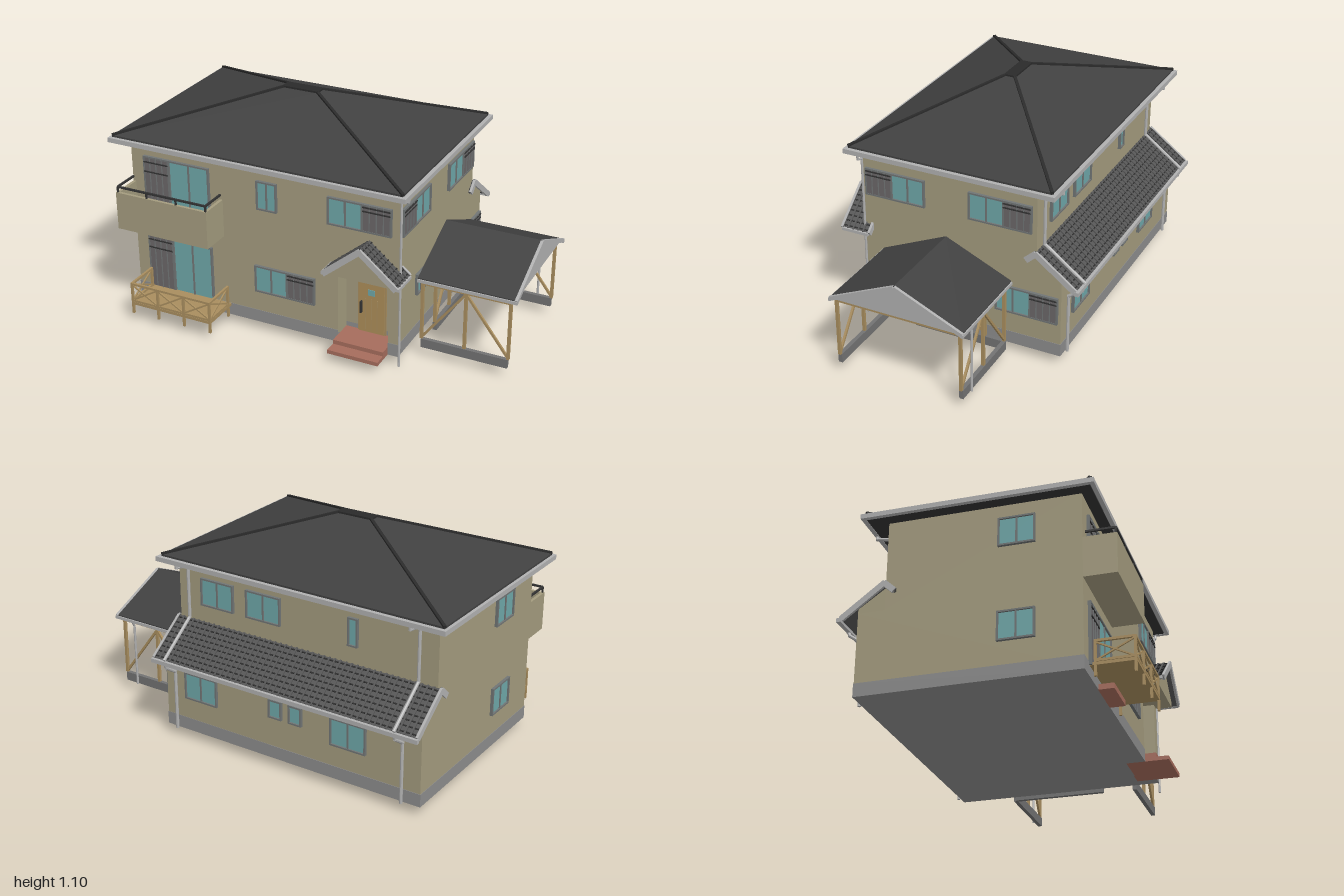
import * as THREE from 'three';
import { ConvexGeometry } from 'three/addons/geometries/ConvexGeometry.js';

const V = (x, y, z) => new THREE.Vector3(x, y, z);
const mat = (color) => new THREE.MeshStandardMaterial({ color, flatShading: true });
const M = {
  wall: mat(0xa39b7e), base: mat(0x8c8c8c), roof: mat(0x404040), cap: mat(0x2a2a2a), tile: mat(0x565656),
  trim: mat(0xb0b0b0), frame: mat(0x707474), glass: mat(0x6ea6a8), shutter: mat(0x6a6668),
  wood: mat(0xa88d5e), door: mat(0xab8c58), step: mat(0xa56c5c), dark: mat(0x333333), slab: mat(0x727272),
};

export function createModel() {
  const root = new THREE.Group();
  root.name = 'house';

  const add = (name, geo, m, parent = root) => {
    const mesh = new THREE.Mesh(geo, m);
    mesh.name = name;
    parent.add(mesh);
    return mesh;
  };
  const group = (name, parent = root) => {
    const g = new THREE.Group();
    g.name = name;
    parent.add(g);
    return g;
  };
  // box given by its extents
  const box = (name, x0, x1, y0, y1, z0, z1, m, parent) => {
    const b = add(name, new THREE.BoxGeometry(x1 - x0, y1 - y0, z1 - z0), m, parent);
    b.position.set((x0 + x1) / 2, (y0 + y1) / 2, (z0 + z1) / 2);
    return b;
  };
  // square bar between two points
  const bar = (name, a, b, w, m, parent, h = w) => {
    const mesh = add(name, new THREE.BoxGeometry(w, h, a.distanceTo(b)), m, parent);
    mesh.position.copy(a).add(b).multiplyScalar(0.5);
    mesh.lookAt(b);
    return mesh;
  };
  const pipe = (name, pts, r = 0.008) => {
    const path = new THREE.CurvePath();
    for (let i = 1; i < pts.length; i++) path.add(new THREE.LineCurve3(pts[i - 1], pts[i]));
    for (const c of path.curves) {
      const mesh = add(name, new THREE.CylinderGeometry(r, r, c.getLength() + r, 8), M.trim);
      mesh.position.copy(c.getPoint(0.5));
      mesh.quaternion.setFromUnitVectors(V(0, 1, 0), c.getTangent(0));
    }
  };
  const shapeOf = (pts) => new THREE.Shape(pts.map(([x, y]) => new THREE.Vector2(x, y)));
  const extrude = (pts, depth) => new THREE.ExtrudeGeometry(shapeOf(pts), { depth, bevelEnabled: false });
  // plan outline of (x, z) raised from y0 to y1
  const plan = (name, pts, y0, y1, m) =>
    add(name, extrude(pts.map(([x, z]) => [x, -z]), y1 - y0).rotateX(-Math.PI / 2).translate(0, y0, 0), m);
  // profile of (z, y) running from x0 to x1
  const sideProfile = (name, pts, x0, x1, m, parent) =>
    add(name, extrude(pts, x1 - x0).rotateY(-Math.PI / 2).translate(x1, 0, 0), m, parent);

  // walls, with the entrance recess in the ground floor
  const outline = (d) => [[-0.92 - d, 0.45 + d], [0.175, 0.45 + d], [0.175, 0.36], [0.43, 0.36], [0.43, 0.45 + d],
    [0.48 + d, 0.45 + d], [0.48 + d, -0.56 - d], [-0.92 - d, -0.56 - d]];
  plan('foundation', outline(0.002), 0.045, 0.108, M.base);
  plan('groundFloorWalls', outline(0), 0.05, 0.44, M.wall);
  box('upperFloorWalls', -0.92, 0.48, 0.44, 0.88, -0.436, 0.45, M.wall);
  sideProfile('rearLeanToWall', [[-0.43, 0.44], [-0.43, 0.55], [-0.56, 0.46], [-0.56, 0.44]], -0.92, 0.48, M.wall);

  // hipped main roof
  const rect = (x0, x1, z0, z1, y) => [V(x0, y, z0), V(x1, y, z0), V(x1, y, z1), V(x0, y, z1)];
  const eave = rect(-0.985, 0.515, -0.52, 0.505, 0.9);
  const ridge = rect(-0.32, -0.14, -0.025, 0.025, 1.09);
  add('mainRoof', new ConvexGeometry([...eave, ...ridge, ...rect(-0.985, 0.515, -0.52, 0.505, 0.882)]), M.roof);
  eave.forEach((p, i) => bar('hipCap', p, ridge[i], 0.014, M.cap));
  box('ridgeCap', -0.325, -0.135, 1.085, 1.097, -0.03, 0.03, M.cap);
  box('soffit', -0.98, 0.515, 0.87, 0.884, -0.52, 0.5, M.dark);
  for (const z of [-0.53, 0.513]) box('mainGutter', -1, 0.535, 0.868, 0.891, z - 0.01, z + 0.01, M.trim);
  for (const x of [-0.99, 0.525]) box('mainGutter', x - 0.01, x + 0.01, 0.868, 0.891, -0.54, 0.523, M.trim);

  // tiled roof slope from peak to eave, points given as (z, y), centred on local x
  const tiledSlope = (parent, len, peak, low) => {
    const [a, b] = peak[0] < low[0] ? [peak, low] : [low, peak];
    const s = Math.hypot(b[0] - a[0], b[1] - a[1]);
    const g = group('tiledSlope', parent);
    g.position.set(0, (a[1] + b[1]) / 2, (a[0] + b[0]) / 2);
    g.rotation.x = Math.atan2(a[1] - b[1], b[0] - a[0]);
    box('roofBoard', -len / 2, len / 2, -0.012, 0, -s / 2, s / 2, M.tile, g);
    const cols = Math.round(len / 0.03), rows = Math.round(s / 0.028);
    for (let i = 0; i <= cols; i++) {
      const x = -len / 2 + 0.004 + (i * (len - 0.008)) / cols;
      box('tileRib', x - 0.004, x + 0.004, 0, 0.006, -s / 2, s / 2, M.tile, g);
    }
    for (let i = 0; i < rows; i++) {
      const z = -s / 2 + ((i + 0.5) * s) / rows;
      box('tileCourse', -len / 2, len / 2, 0, 0.004, z - 0.003, z + 0.003, M.cap, g);
    }
    for (const x of [-len / 2, len / 2]) box('bargeBoard', x - 0.006, x + 0.006, -0.02, 0.008, -s / 2, s / 2, M.trim, g);
  };

  // rear lean-to roof
  const lean = group('rearRoof');
  lean.position.x = -0.222;
  tiledSlope(lean, 1.43, [-0.435, 0.57], [-0.635, 0.42]);
  tiledSlope(lean, 1.43, [-0.435, 0.57], [-0.385, 0.525]);
  box('rearGutter', -0.945, 0.5, 0.4, 0.42, -0.65, -0.63, M.trim);

  // entrance porch: roof, gable, door and steps
  const porch = group('porchRoof');
  porch.position.set(0.333, 0, 0.487);
  porch.rotation.y = Math.PI / 2;
  for (const s of [-1, 1]) {
    tiledSlope(porch, 0.145, [0, 0.615], [s * 0.185, 0.462]);
    box('porchGutter', -0.07, 0.07, 0.45, 0.464, s * 0.185 - 0.008, s * 0.185 + 0.008, M.trim, porch);
  }
  add('porchGable', extrude([[0.18, 0.44], [0.486, 0.44], [0.486, 0.47], [0.333, 0.6], [0.18, 0.47]], 0.08)
    .translate(0, 0, 0.449), M.wall);
  box('upperStep', 0.175, 0.43, 0.045, 0.085, 0.355, 0.505, M.step);
  box('lowerStep', 0.175, 0.43, 0.045, 0.064, 0.4, 0.565, M.step);
  box('doorFrame', 0.238, 0.382, 0.085, 0.362, 0.355, 0.368, M.wood);
  box('door', 0.246, 0.374, 0.087, 0.354, 0.36, 0.374, M.door);
  box('doorWindow', 0.293, 0.327, 0.285, 0.315, 0.37, 0.377, M.glass);
  for (const x of [0.28, 0.31, 0.34]) box('doorGroove', x - 0.002, x + 0.002, 0.1, 0.265, 0.37, 0.376, M.wood);
  box('doorHandle', 0.257, 0.265, 0.19, 0.25, 0.37, 0.39, M.dark);

  // windows and shutters on each face; a and b are positions along the wall
  const faces = {
    front: [0, (c, y) => V(c, y, 0.45)], right: [Math.PI / 2, (c, y) => V(0.48, y, c)],
    left: [-Math.PI / 2, (c, y) => V(-0.92, y, c)], rear: [Math.PI, (c, y) => V(c, y, -0.436)],
    rearLow: [Math.PI, (c, y) => V(c, y, -0.56)],
  };
  const onFace = (name, face, a, b, y0, y1) => {
    const g = group(name);
    g.position.copy(faces[face][1]((a + b) / 2, (y0 + y1) / 2));
    g.rotation.y = faces[face][0];
    return [g, Math.abs(b - a) / 2, (y1 - y0) / 2];
  };
  const frameAround = (g, w, h, m) => {
    for (const s of [-1, 1]) {
      box('frameSide', s * w - 0.004, s * w + 0.004, -h - 0.004, h + 0.004, 0, 0.014, m, g);
      box('frameRail', -w, w, s * h - 0.004, s * h + 0.004, 0, 0.014, m, g);
    }
  };
  const pane = (face, a, b, y0, y1, split = true) => {
    const [g, w, h] = onFace('window', face, a, b, y0, y1);
    box('glass', -w, w, -h, h, -0.004, 0.006, M.glass, g);
    frameAround(g, w, h, M.frame);
    if (split) box('mullion', -0.004, 0.004, -h, h, 0, 0.011, M.frame, g);
  };
  const shutter = (face, a, b, y0, y1) => {
    const [g, w, h] = onFace('shutter', face, a, b, y0, y1);
    box('shutterPanel', -w, w, -h, h, 0, 0.012, M.shutter, g);
    for (const x of [-w / 2, 0, w / 2]) box('shutterSeam', x - 0.002, x + 0.002, -h, h, 0, 0.016, M.frame, g);
    for (const s of [0.55, 0.85]) box('shutterRail', -w, w, s * h - 0.003, s * h + 0.003, 0, 0.017, M.dark, g);
    frameAround(g, w, h, M.frame);
  };
  for (const [y0, y1] of [[0.47, 0.8], [0.1, 0.385]]) {
    shutter('front', -0.845, -0.712, y0, y1);
    pane('front', -0.708, -0.495, y0, y1);
  }
  pane('front', -0.235, -0.137, 0.655, 0.793);
  pane('front', 0.13, 0.298, 0.66, 0.79);
  shutter('front', 0.302, 0.44, 0.66, 0.79);
  pane('front', -0.255, -0.088, 0.218, 0.35);
  shutter('front', -0.084, 0.054, 0.218, 0.35);
  for (const [a, b, c, y] of [[0.13, 0.298, 0.432, 0.66], [-0.102, -0.275, -0.41, 0.66], [-0.237, -0.408, -0.543, 0.22]]) {
    pane('right', a, b, y, y + 0.13);
    shutter('right', b, c, y, y + 0.13);
  }
  pane('right', 0.17, 0.26, 0.28, 0.38);
  pane('right', 0, 0.05, 0.35, 0.42, false);
  for (const y of [0.67, 0.22]) pane('left', 0.08, 0.24, y, y + 0.13);
  for (const [a, b] of [[0.165, 0.345], [-0.1, 0.085]]) pane('rear', a, b, 0.66, 0.79);
  pane('rear', -0.515, -0.47, 0.66, 0.79, false);
  for (const [a, b] of [[0.18, 0.36], [-0.64, -0.46]]) pane('rearLow', a, b, 0.22, 0.35);
  for (const x of [-0.19, -0.3]) pane('rearLow', x, x + 0.065, 0.26, 0.345, false);

  // balcony: floor, parapet and handrail
  const balcony = group('balcony');
  box('balconyFloor', -0.92, -0.425, 0.465, 0.485, 0.45, 0.6, M.wall, balcony);
  box('balconyFront', -0.92, -0.425, 0.465, 0.655, 0.585, 0.6, M.wall, balcony);
  for (const x of [-0.92, -0.44]) box('balconySide', x, x + 0.015, 0.465, 0.655, 0.45, 0.6, M.wall, balcony);
  const rail = [V(-0.912, 0.683, 0.46), V(-0.912, 0.683, 0.593), V(-0.432, 0.683, 0.593), V(-0.432, 0.683, 0.46)];
  for (let i = 0; i < 3; i++) bar('handrail', rail[i], rail[i + 1], 0.009, M.dark, balcony);
  for (const x of [-0.912, -0.752, -0.592, -0.432]) box('railPost', x - 0.004, x + 0.004, 0.65, 0.683, 0.589, 0.597, M.dark, balcony);

  // timber deck with cross-braced railing
  const deck = group('deck');
  box('deckFloor', -0.84, -0.4, 0.094, 0.108, 0.45, 0.65, M.wood, deck);
  const corners = [V(-0.835, 0, 0.475), V(-0.835, 0, 0.645), V(-0.692, 0, 0.645), V(-0.548, 0, 0.645), V(-0.405, 0, 0.645), V(-0.405, 0, 0.475)];
  const at = (p, y) => V(p.x, y, p.z);
  corners.forEach((p, i) => {
    bar('deckPost', at(p, 0.045), at(p, 0.21), 0.011, M.wood, deck);
    const q = corners[i + 1];
    if (!q) return;
    for (const [s, e] of [[0.205, 0.205], [0.115, 0.115], [0.115, 0.2], [0.2, 0.115]])
      bar('deckRail', at(p, s), at(q, e), s === e ? 0.011 : 0.007, M.wood, deck);
  });
  box('deckStep', -0.7, -0.5, 0.045, 0.07, 0.45, 0.52, M.step, deck);

  // carport: gabled roof, timber frame and low plinths
  const car = group('carport');
  sideProfile('carportRoof', [[-0.33, 0.395], [0, 0.54], [0.33, 0.395], [0.33, 0.41], [0, 0.556], [-0.33, 0.41]], 0.52, 0.992, M.roof, car);
  for (const x of [0.532, 0.972])
    sideProfile('carportGable', [[-0.32, 0.393], [0.32, 0.393], [0, 0.54]], x, x + 0.01, M.trim, car);
  for (const s of [-1, 1]) {
    bar('carportBarge', V(0.993, 0.547, 0), V(0.993, 0.401, s * 0.33), 0.014, M.trim, car, 0.02);
    box('carportGutter', 0.52, 1, 0.39, 0.405, s * 0.33 - 0.006, s * 0.33 + 0.006, M.trim, car);
    for (const x of [0.64, 0.755, 0.87]) bar('rafter', V(x, 0.53, 0), V(x, 0.39, s * 0.31), 0.012, M.wood, car);
  }
  // one truss panel: three posts, a top beam, two braces and a plinth
  const truss = (a, b) => {
    const mid = a.clone().lerp(b, 0.5);
    for (const p of [a, mid, b]) bar('carportPost', at(p, 0.09), at(p, 0.385), 0.014, M.wood, car);
    for (const p of [a, b]) bar('brace', at(p, 0.095), at(mid, 0.375), 0.011, M.wood, car);
    bar('topBeam', at(a, 0.383), at(b, 0.383), 0.015, M.wood, car);
    bar('plinth', at(a, 0.0675), at(b, 0.0675), 0.02, M.slab, car, 0.045);
  };
  for (const z of [0.315, -0.305]) truss(V(0.54, 0, z), V(0.965, 0, z));
  truss(V(0.54, 0, 0.155), V(0.54, 0, -0.205));
  bar('plinth', V(0.54, 0.0675, -0.2), V(0.54, 0.0675, -0.3), 0.02, M.slab, car, 0.045);
  for (const x of [0.54, 0.755, 0.965]) box('tieBeam', x - 0.007, x + 0.007, 0.376, 0.391, -0.315, 0.32, M.wood, car);
  for (const z of [-0.15, 0, 0.15]) box('purlin', 0.53, 0.975, 0.379, 0.391, z - 0.006, z + 0.006, M.wood, car);

  // downpipes
  pipe('frontDownpipe', [V(0.525, 0.87, 0.452), V(0.52, 0.845, 0.452), V(0.487, 0.835, 0.452), V(0.487, 0, 0.452)], 0.006);
  for (const x of [-0.83, 0.42]) {
    pipe('rearUpperDownpipe', [V(x, 0.87, -0.53), V(x, 0.855, -0.53), V(x, 0.84, -0.447), V(x, 0.58, -0.447), V(x, 0.43, -0.645)]);
    pipe('rearLowerDownpipe', [V(x, 0.4, -0.64), V(x, 0.385, -0.635), V(x, 0.34, -0.57), V(x, 0.045, -0.57)]);
  }
  pipe('carportDownpipe', [V(0.89, 0.39, -0.33), V(0.89, 0.37, -0.32), V(0.89, 0.045, -0.318)], 0.006);
  return root;
}
